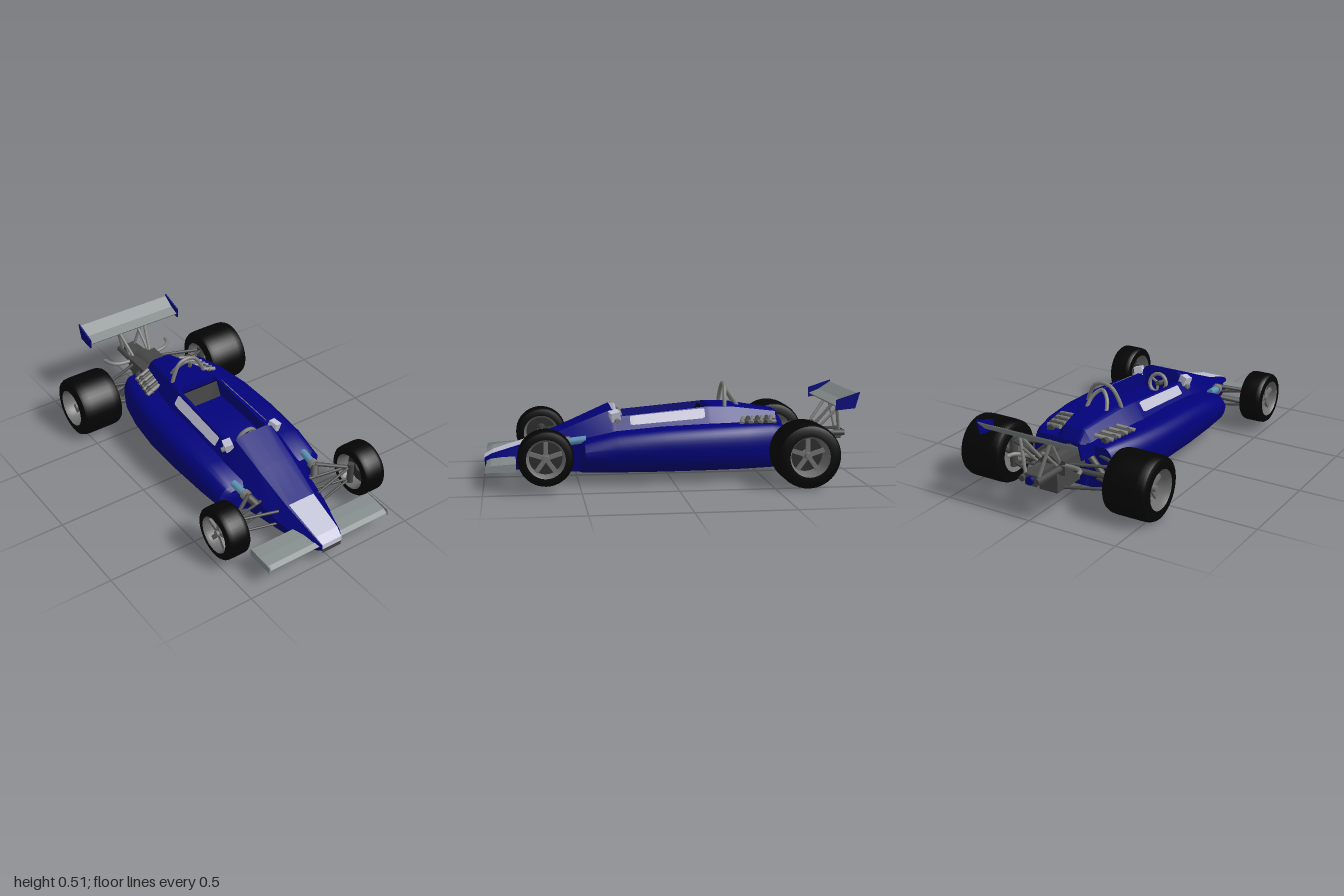
import * as THREE from 'three';
import { toCreasedNormals } from 'three/addons/utils/BufferGeometryUtils.js';

const mat = (name, color, side = THREE.FrontSide) => {
  const m = new THREE.MeshStandardMaterial({ color, side });
  m.name = name;
  return m;
};
const M = {
  blue: mat('body blue', 0x02027a),
  white: mat('panel white', 0xc0c0d4, THREE.DoubleSide),
  tyre: mat('tyre black', 0x040404),
  wing: mat('wing grey', 0x838a8a),
  rim: mat('rim grey', 0x707070, THREE.DoubleSide),
  wheelDark: mat('wheel dark grey', 0x2c2c2c),
  metal: mat('dark metal', 0x454545),
  tube: mat('tube grey', 0x7c7c7a),
  damper: mat('damper blue', 0x5a92b4),
  seat: mat('seat black', 0x040408),
};
const V = (x, y, z) => new THREE.Vector3(x, y, z);

function add(parent, name, geo, material, pos) {
  const m = new THREE.Mesh(geo, material);
  m.name = name;
  if (pos) m.position.set(...pos);
  parent.add(m);
  return m;
}

// Straight round bar between two points
function rod(parent, name, a, b, r, material, sides = 10) {
  const p = V(...a), q = V(...b), d = q.clone().sub(p);
  const m = add(parent, name, new THREE.CylinderGeometry(r, r, d.length(), sides), material);
  m.position.copy(p).add(q).multiplyScalar(0.5);
  m.quaternion.setFromUnitVectors(V(0, 1, 0), d.normalize());
}

function pipe(parent, name, pts, r, material) {
  const curve = new THREE.CatmullRomCurve3(pts.map(p => V(...p)));
  add(parent, name, new THREE.TubeGeometry(curve, 28, r, 8), material);
}

// Skin over mirrored half profiles running bottom centre to top centre, front to back
function loft(sections, crease) {
  const pos = [], idx = [];
  const rings = sections.map(({ z, pts }) => [
    ...pts.map(([x, y]) => [x, y, z]),
    ...pts.slice(1, -1).reverse().map(([x, y]) => [-x, y, z]),
  ]);
  const n = rings[0].length, last = rings.length - 1;
  rings.forEach(r => r.forEach(p => pos.push(...p)));
  for (let i = 0; i < last; i++) for (let j = 0; j < n; j++) {
    const k = (j + 1) % n, a = i * n + j, b = i * n + k, c = b + n, d = a + n;
    idx.push(a, d, b, b, d, c);
  }
  for (const e of [0, last]) {
    const r = rings[e], centre = pos.length / 3;
    pos.push(0, (r[0][1] + sections[e].pts.at(-1)[1]) / 2, r[0][2]);
    for (let j = 0; j < n; j++) {
      const a = e * n + j, b = e * n + (j + 1) % n;
      e ? idx.push(centre, b, a) : idx.push(centre, a, b);
    }
  }
  const g = new THREE.BufferGeometry();
  g.setAttribute('position', new THREE.Float32BufferAttribute(pos, 3));
  g.setIndex(idx);
  return toCreasedNormals(g, crease);
}

// Strip of quads between pairs of points
function strip(pairs, flip = false) {
  const g = new THREE.BufferGeometry(), idx = [];
  g.setAttribute('position', new THREE.Float32BufferAttribute(pairs.flat(2), 3));
  for (let i = 0; i < pairs.length - 1; i++) {
    const a = i * 2;
    idx.push(...(flip ? [a, a + 1, a + 2, a + 1, a + 3, a + 2] : [a, a + 2, a + 1, a + 1, a + 2, a + 3]));
  }
  g.setIndex(idx);
  const flat = g.toNonIndexed();
  flat.computeVertexNormals();
  return flat;
}
const mirrored = ([x, y, z]) => [[-x, y, z], [x, y, z]];

// Side outline of (z, y) points given a thickness across x
function slab(outline, width) {
  const s = new THREE.Shape(outline.map(([z, y]) => new THREE.Vector2(z, y)));
  const g = new THREE.ExtrudeGeometry(s, { depth: width, bevelEnabled: false });
  return g.translate(0, 0, -width / 2).rotateY(-Math.PI / 2);
}

function wheel(name, radius, half, rimR) {
  const g = new THREE.Group();
  g.name = name;
  const turn = pts => new THREE.LatheGeometry(pts.map(p => new THREE.Vector2(...p)), 40).rotateZ(-Math.PI / 2);
  const side = [[rimR, 1], [radius * 0.82, 1], [radius * 0.94, 0.93], [radius * 0.985, 0.8], [radius, 0.55]];
  const prof = [...side.map(([r, t]) => [r, -t * half]), ...side.reverse().map(([r, t]) => [r, t * half])];
  add(g, 'tyre', toCreasedNormals(turn(prof), 0.6), M.tyre);
  add(g, 'rim', turn([[rimR, -half], [rimR * 0.88, -half * 0.75], [rimR * 0.84, 0],
    [rimR * 0.88, half * 0.75], [rimR, half]]), M.rim);
  add(g, 'wheelDisc', new THREE.CylinderGeometry(rimR * 0.85, rimR * 0.85, 0.01, 32).rotateZ(Math.PI / 2), M.wheelDark, [half * 0.1, 0, 0]);
  add(g, 'hub', new THREE.CylinderGeometry(0.016, 0.026, half * 0.8, 16).rotateZ(-Math.PI / 2), M.rim, [half * 0.4, 0, 0]);
  for (let i = 0; i < 5; i++) {
    const s = add(g, 'spoke', new THREE.BoxGeometry(0.016, rimR * 0.86, 0.022).translate(half * 0.5, rimR * 0.43, 0), M.rim);
    s.rotation.x = i * Math.PI * 2 / 5;
  }
  return g;
}

export function createModel() {
  const car = new THREE.Group();
  car.name = 'racingCar';

  // Wide floor and side pods: z, half width, top, floor half width
  const pods = [
    [0.49, 0.305, 0.21, 0.17], [0.47, 0.325, 0.23, 0.19], [0.3, 0.338, 0.268, 0.21], [0.05, 0.345, 0.288, 0.22],
    [-0.2, 0.339, 0.298, 0.21], [-0.4, 0.312, 0.3, 0.19], [-0.54, 0.275, 0.297, 0.16], [-0.61, 0.24, 0.285, 0.14],
  ].map(([z, w, t, f]) => {
    const side = new THREE.CatmullRomCurve3([[f, 0.05], [w * 0.91, 0.09], [w, 0.17], [w * 0.98, t - 0.045], [w * 0.86, t - 0.004], [0.16, t]]
      .map(([x, y]) => V(x, y, 0)));
    return { z, pts: [[0, 0.05], ...side.getPoints(20).map(p => [p.x, p.y]), [0, t]] };
  });
  add(car, 'sidePods', loft(pods, 0.7), M.blue);

  // Nose, cockpit tub and engine cover: z, floor, floor w, side w/y, top w/y, inner w/y, well floor
  const tub = [
    [0.995, 0.077, 0.055, 0.064, 0.1, 0.06, 0.115, 0.05, 0.117],
    [0.95, 0.066, 0.085, 0.1, 0.1, 0.072, 0.14, 0.06, 0.142],
    [0.74, 0.058, 0.125, 0.153, 0.14, 0.088, 0.203, 0.07, 0.208],
    [0.52, 0.052, 0.16, 0.183, 0.2, 0.105, 0.295, 0.055, 0.305],
    [0.32, 0.052, 0.17, 0.2, 0.25, 0.115, 0.375, 0.08, 0.39],
    [0.3, 0.052, 0.17, 0.2, 0.25, 0.135, 0.345, 0.115, 0.35],
    [0.285, 0.052, 0.17, 0.2, 0.25, 0.14, 0.34, 0.118, 0.34, 0.13],
    [-0.2, 0.052, 0.17, 0.2, 0.27, 0.13, 0.385, 0.116, 0.387, 0.13],
    [-0.215, 0.052, 0.17, 0.2, 0.27, 0.13, 0.385, 0.112, 0.39],
    [-0.34, 0.052, 0.16, 0.18, 0.28, 0.11, 0.38, 0.08, 0.39],
    [-0.59, 0.055, 0.1, 0.11, 0.28, 0.065, 0.345, 0.05, 0.352],
    [-0.63, 0.06, 0.09, 0.095, 0.24, 0.06, 0.285, 0.045, 0.29],
  ].map(([z, yb, wb, ws, ys, wt, yt, wi, yi, well = yi]) => ({
    z, pts: [[0, yb], [wb, yb], [ws, ys], [wt, yt], [wi, yi], [wi * 0.95, well], [0, well]],
  }));
  add(car, 'monocoque', loft(tub, 0.45), M.blue);

  // White nose panel and the dark lip below it
  add(car, 'nosePanel', strip([[0.079, 0.211, 0.74], [0.069, 0.146, 0.952], [0.06, 0.121, 0.998], [0.06, 0.094, 1]].map(mirrored)), M.white);
  add(car, 'noseLip', strip([[0.06, 0.094, 1], [0.06, 0.066, 0.996]].map(mirrored)), M.metal);

  // Cockpit fittings
  add(car, 'seatBack', new THREE.BoxGeometry(0.222, 0.27, 0.02), M.seat, [0, 0.25, -0.13]).rotation.x = -0.47;
  add(car, 'steeringWheel', new THREE.TorusGeometry(0.052, 0.011, 8, 28), M.tube, [0, 0.315, 0.258]).rotation.x = 0.25;
  for (const a of [0, 2.1, 4.2]) {
    rod(car, 'wheelSpoke', [0, 0.315, 0.258], [Math.sin(a) * 0.05, 0.315 - Math.cos(a) * 0.05, 0.258 - Math.cos(a) * 0.012], 0.008, M.tube);
  }
  rod(car, 'steeringColumn', [0, 0.315, 0.25], [0, 0.3, 0.31], 0.014, M.metal);

  // Roll hoops
  pipe(car, 'mainRollHoop', [[-0.115, 0.34, -0.3], [-0.09, 0.42, -0.305], [-0.05, 0.482, -0.31], [0, 0.498, -0.31],
    [0.05, 0.482, -0.31], [0.09, 0.42, -0.305], [0.115, 0.34, -0.3]], 0.011, M.tube);
  pipe(car, 'rearRollHoop', [[-0.065, 0.36, -0.39], [-0.045, 0.43, -0.35], [0, 0.467, -0.325],
    [0.045, 0.43, -0.35], [0.065, 0.36, -0.39]], 0.011, M.tube);

  // Front and rear wings
  add(car, 'frontWing', slab([[0.985, 0.105], [0.96, 0.118], [0.9, 0.128], [0.83, 0.134], [0.83, 0.124], [0.9, 0.106], [0.97, 0.098]], 0.76), M.wing);
  add(car, 'rearWing', slab([[-0.875, 0.398], [-0.93, 0.42], [-0.995, 0.462], [-0.995, 0.455], [-0.94, 0.405], [-0.885, 0.387]], 0.595), M.wing);

  // Engine, gearbox and tail
  add(car, 'engineTop', new THREE.BoxGeometry(0.18, 0.08, 0.19), M.metal, [0, 0.225, -0.715]);
  add(car, 'engineBlock', new THREE.BoxGeometry(0.11, 0.1, 0.21), M.metal, [0, 0.14, -0.725]);
  add(car, 'gearboxTop', new THREE.CylinderGeometry(0.05, 0.06, 0.2, 12).rotateX(Math.PI / 2), M.metal, [0, 0.225, -0.72]);
  add(car, 'tailCasing', new THREE.BoxGeometry(0.07, 0.06, 0.17), M.metal, [0, 0.21, -0.89]);
  add(car, 'tailCap', new THREE.CylinderGeometry(0.022, 0.022, 0.02, 16).rotateX(Math.PI / 2), M.blue, [0, 0.21, -0.98]);

  for (const s of [1, -1]) {
    const side = new THREE.Group();
    side.name = s > 0 ? 'leftSide' : 'rightSide';
    car.add(side);
    const bar = (name, a, b, r, m = M.metal) => rod(side, name, [a[0] * s, a[1], a[2]], [b[0] * s, b[1], b[2]], r, m);

    // Wheels
    for (const [name, x, y, z, r, h, rim] of [['frontWheel', 0.436, 0.18, 0.68, 0.143, 0.066, 0.1], ['rearWheel', 0.434, 0.17, -0.67, 0.17, 0.124, 0.106]]) {
      const w = wheel(name, r, h, rim);
      w.position.set(x * s, y, z);
      if (s < 0) w.rotation.y = Math.PI;
      side.add(w);
    }

    // Cockpit side stripe
    add(side, 'sideStripe', strip([[0.22, 0.15, 0.342, 0.177, 0.301], [0.2, 0.149, 0.346, 0.179, 0.3], [-0.17, 0.14, 0.377, 0.172, 0.327], [-0.185, 0.142, 0.374, 0.168, 0.335]]
      .map(([z, x1, y1, x2, y2]) => [[x1 * s, y1, z], [x2 * s, y2, z]]), s > 0), M.white);

    // Mirrors on grey brackets
    const mirror = add(side, 'mirror', new THREE.BoxGeometry(0.046, 0.05, 0.052), M.white, [0.15 * s, 0.347, 0.302]);
    mirror.rotation.set(0.2, 0.25 * s, -0.3 * s);
    bar('mirrorBracket', [0.152, 0.325, 0.295], [0.182, 0.318, 0.285], 0.014, M.tube);

    // Wing end plates
    add(side, 'frontEndPlate', slab([[0.992, 0.096], [0.985, 0.13], [0.83, 0.14], [0.83, 0.096]], 0.008), M.wing, [0.38 * s, 0, 0]);
    add(side, 'rearEndPlate', slab([[-0.87, 0.375], [-0.87, 0.43], [-1, 0.472], [-0.975, 0.385]], 0.008), M.blue, [0.3 * s, 0, 0]);

    // Front suspension
    for (const z of [0.6, 0.72]) {
      bar('frontUpperArm', [0.13, 0.18, z], [0.39, 0.205, 0.67], 0.008);
      bar('frontLowerArm', [0.13, 0.1, z], [0.39, 0.12, 0.67], 0.007);
    }
    bar('frontRocker', [0.22, 0.235, 0.58], [0.37, 0.205, 0.67], 0.011);
    bar('frontUpright', [0.38, 0.11, 0.68], [0.38, 0.23, 0.68], 0.018);
    bar('frontDamper', [0.228, 0.235, 0.46], [0.222, 0.225, 0.545], 0.02, M.damper);
    bar('frontDamperCap', [0.222, 0.222, 0.545], [0.218, 0.222, 0.575], 0.028, M.tube);
    bar('frontDamperEnd', [0.218, 0.22, 0.575], [0.19, 0.18, 0.61], 0.022);

    // Rear suspension and drive shaft
    for (const z of [-0.57, -0.77]) {
      bar('rearUpperArm', [0.08, 0.235, z], [0.34, 0.235, -0.67], 0.009);
      bar('rearLowerArm', [0.05, 0.1, z], [0.34, 0.115, -0.67], 0.009);
    }
    bar('driveShaft', [0.05, 0.17, -0.69], [0.43, 0.17, -0.67], 0.014);
    bar('rearUpright', [0.33, 0.09, -0.67], [0.33, 0.26, -0.67], 0.022);
    bar('rearDamper', [0.11, 0.26, -0.64], [0.24, 0.14, -0.66], 0.018);

    // Finned exhaust stubs on the engine cover
    for (let i = 0; i < 7; i++) {
      const z = -0.385 - i * 0.027, x = 0.185 - i * 0.005;
      bar('exhaustStub', [x - 0.05, 0.32, z - 0.015], [x + 0.045, 0.304, z + 0.012], 0.012, i % 2 ? M.metal : M.tube);
    }
    bar('exhaustManifold', [0.2, 0.3, -0.375], [0.165, 0.3, -0.57], 0.02);

    // Exhaust pipes and wing struts
    pipe(side, 'exhaustPipe', [[0.212, 0.25, -0.88], [0.2, 0.25, -0.84], [0.16, 0.245, -0.81], [0.07, 0.24, -0.8]]
      .map(([x, y, z]) => [x * s, y, z]), 0.011, M.tube);
    bar('tailPipe', [0.06, 0.22, -0.78], [0.045, 0.215, -0.99], 0.017);
    bar('wingStrutFront', [0.05, 0.23, -0.79], [0.09, 0.4, -0.92], 0.009, M.tube);
    bar('wingStrutRear', [0.04, 0.23, -0.96], [0.09, 0.41, -0.93], 0.009, M.tube);
    bar('wingStrutBrace', [0.06, 0.25, -0.84], [0.06, 0.36, -0.95], 0.008, M.tube);
  }
  return car;
}
